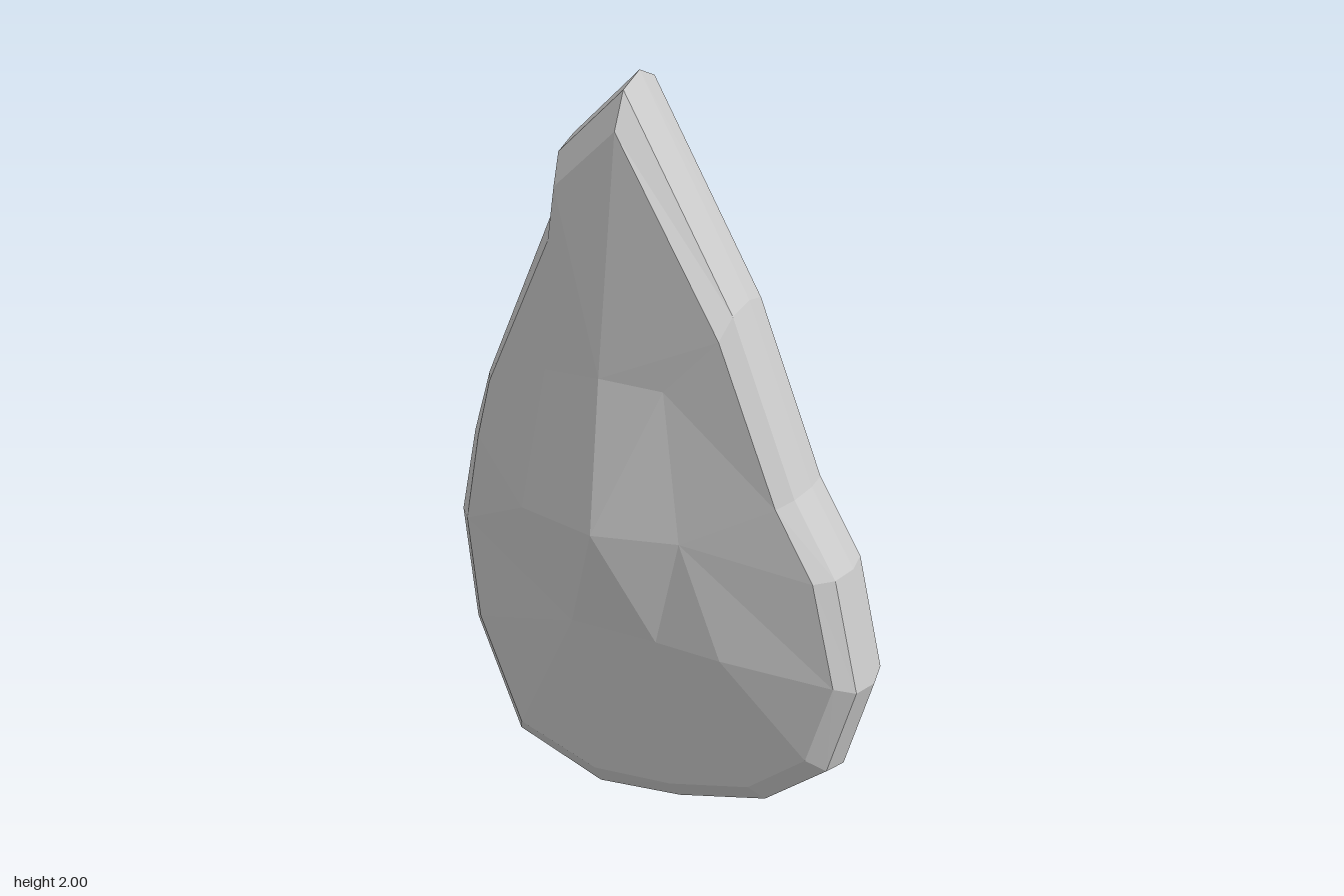
import * as THREE from 'three';

// Outline clockwise from the tip: outer x, y, then the inset front edge x, y
const OUTLINE = [
  [-0.08, 2.0, -0.08, 1.88], [0.22, 1.47, 0.2, 1.4], [0.4, 1.01, 0.36, 0.99], [0.52, 0.81, 0.465, 0.81],
  [0.59, 0.5, 0.53, 0.53], [0.515, 0.24, 0.46, 0.3], [0.34, 0.1, 0.3, 0.17], [0.08, 0.03, 0.07, 0.11],
  [-0.17, 0.0, -0.16, 0.09], [-0.43, 0.1, -0.39, 0.17], [-0.56, 0.43, -0.51, 0.47], [-0.595, 0.76, -0.54, 0.76],
  [-0.545, 1.0, -0.495, 1.01], [-0.49, 1.18, -0.455, 1.17], [-0.29, 1.65, -0.27, 1.58], [-0.265, 1.82, -0.25, 1.72],
];
// Rim layers from front to back: depth and amount of inset
const LAYERS = [[0.095, 1], [0.05, 0.25], [-0.03, 0], [-0.105, 0.25], [-0.155, 1.6]];
// Points inside each face: x, y, front depth, back depth
const INNER = [
  [-0.27, 1.25, 0.122, -0.16], [-0.11, 1.26, 0.135, -0.167], [0.06, 1.25, 0.115, -0.16],
  [-0.335, 0.86, 0.147, -0.175], [-0.1, 0.86, 0.205, -0.19], [0.12, 0.86, 0.145, -0.172],
  [-0.187, 0.57, 0.155, -0.205], [0.06, 0.57, 0.155, -0.182], [0.24, 0.56, 0.15, -0.162],
];
// Facets of a face: 0-15 are outline points, 16-24 inner points
const FACETS = [
  [0, 1, 18, 17], [15, 0, 17], [14, 15, 17, 16], [13, 14, 16], [12, 13, 16, 19], [11, 12, 19],
  [10, 11, 19, 22], [16, 17, 20, 19], [17, 18, 21, 20], [1, 2, 21, 18], [2, 3, 21], [3, 4, 24, 21],
  [20, 21, 24, 23], [19, 20, 23, 22], [4, 5, 24], [5, 6, 24], [6, 7, 23, 24], [7, 8, 22, 23],
  [8, 9, 22], [9, 10, 22],
];

const ring = ([z, inset]) => OUTLINE.map(([x, y, ix, iy]) =>
  [x + (ix - x) * inset, y + (iy - y) * inset, z]);

function facetMesh(name, polygons) {
  const positions = [];
  for (const p of polygons) {
    for (let i = 1; i < p.length - 1; i++) positions.push(...p[0], ...p[i], ...p[i + 1]);
  }
  const geometry = new THREE.BufferGeometry();
  geometry.setAttribute('position', new THREE.Float32BufferAttribute(positions, 3));
  geometry.computeVertexNormals();
  const mesh = new THREE.Mesh(geometry,
    new THREE.MeshStandardMaterial({ color: 0xcccccc, flatShading: true }));
  mesh.name = name;
  return mesh;
}

export function createModel() {
  const group = new THREE.Group();
  group.name = 'stone';
  const rings = LAYERS.map(ring);

  // Rounded rim joining the layers
  const rim = [];
  for (let k = 0; k < rings.length - 1; k++) {
    const a = rings[k], b = rings[k + 1];
    for (let i = 0; i < a.length; i++) {
      const j = (i + 1) % a.length;
      rim.push([a[i], a[j], b[j], b[i]]);
    }
  }
  group.add(facetMesh('rim', rim));

  // Domed front and back faces
  const face = (edge, depth) => {
    const points = [...edge, ...INNER.map((p) => [p[0], p[1], p[depth]])];
    return FACETS.map((f) => f.map((i) => points[i]));
  };
  group.add(facetMesh('frontFace', face(rings[0], 2).map((p) => p.reverse())));
  group.add(facetMesh('backFace', face(rings[4], 3)));
  return group;
}
